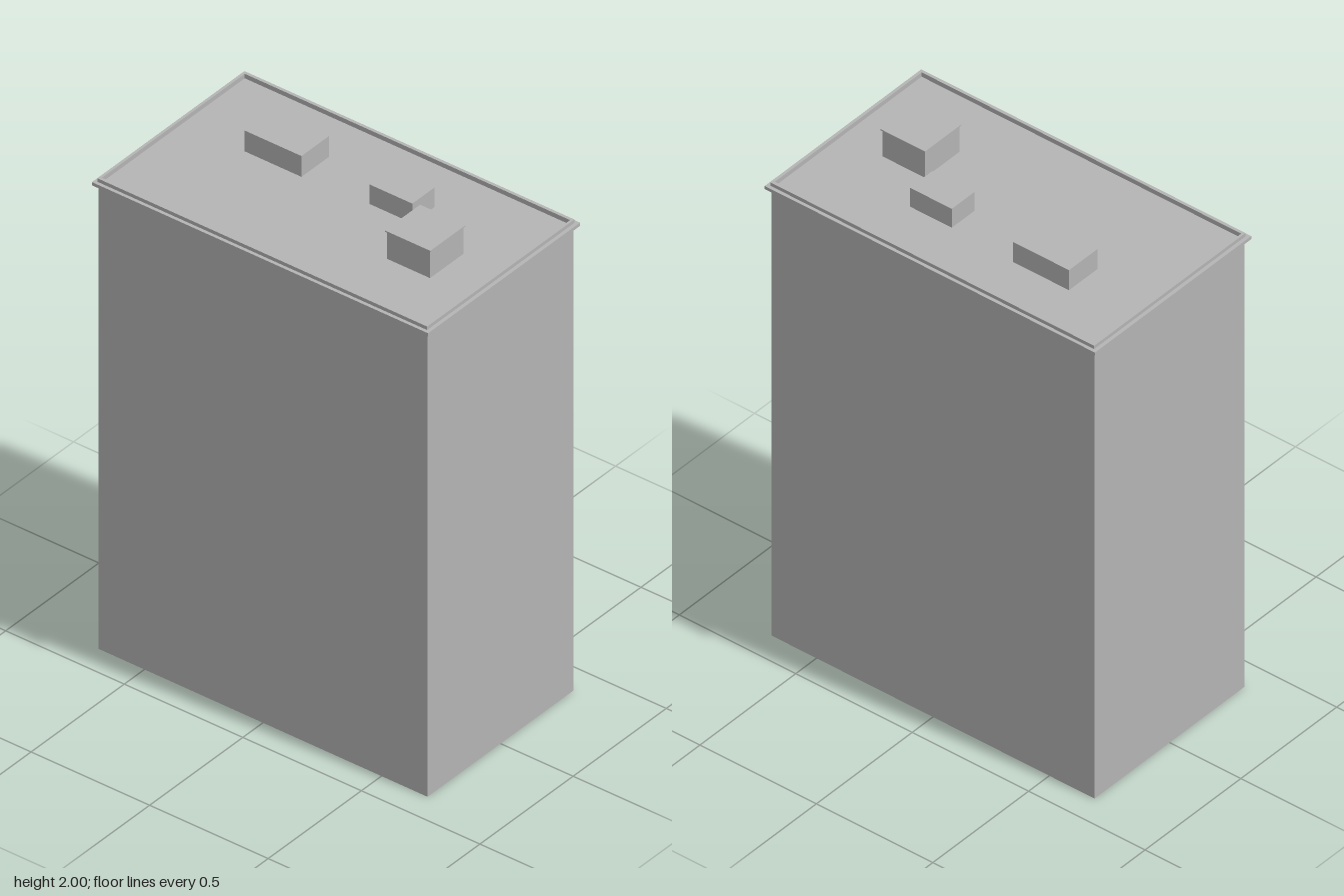
import * as THREE from 'three';

export function createModel() {
  const group = new THREE.Group();
  group.name = 'towerBlock';
  const concrete = new THREE.MeshStandardMaterial({ color: 0xb4b4b4, side: THREE.DoubleSide });
  concrete.name = 'concreteGrey';

  function add(name, geometry, x, y, z) {
    const mesh = new THREE.Mesh(geometry, concrete);
    mesh.name = name;
    mesh.position.set(x, y, z);
    group.add(mesh);
    return mesh;
  }

  // Box given by its limits on each axis
  function box(name, x0, x1, y0, y1, z0, z1) {
    return add(name, new THREE.BoxGeometry(x1 - x0, y1 - y0, z1 - z0),
      (x0 + x1) / 2, (y0 + y1) / 2, (z0 + z1) / 2);
  }

  function rectangle(shape, hx, hz) {
    return shape.moveTo(-hx, -hz).lineTo(hx, -hz).lineTo(hx, hz).lineTo(-hx, hz).closePath();
  }

  // Rectangular frame lying flat, from half sizes
  function frame(name, outerX, outerZ, innerX, innerZ, y0, y1) {
    const shape = rectangle(new THREE.Shape(), outerX, outerZ);
    shape.holes.push(rectangle(new THREE.Path(), innerX, innerZ));
    const geometry = new THREE.ExtrudeGeometry(shape, { depth: y1 - y0, bevelEnabled: false });
    geometry.rotateX(-Math.PI / 2);
    return add(name, geometry, 0, y0, 0);
  }

  // Four outer walls, open at the bottom
  const walls = box('walls', -0.694, 0.694, 0, 1.885, -0.392, 0.392);
  const index = Array.from(walls.geometry.index.array);
  index.splice(12, 12); // drop the top and bottom faces
  walls.geometry.setIndex(index);
  walls.geometry.clearGroups();

  // Flat roof inside the parapet
  const roof = new THREE.PlaneGeometry(1.388, 0.784).rotateX(-Math.PI / 2);
  add('roof', roof, 0, 1.885, 0);

  // Projecting ledge and parapet
  frame('ledge', 0.709, 0.408, 0.69, 0.388, 1.876, 1.889);
  frame('parapet', 0.695, 0.395, 0.686, 0.383, 1.884, 1.903);

  // Rooftop housings
  box('wideHousing', -0.425, -0.185, 1.885, 1.969, -0.198, -0.05);
  box('smallHousing', 0.09, 0.27, 1.885, 1.964, -0.184, -0.066);
  box('tallHousing', 0.331, 0.513, 1.885, 1.996, -0.032, 0.148);
  box('tallHousingCap', 0.326, 0.518, 1.995, 2, -0.037, 0.153);

  return group;
}
